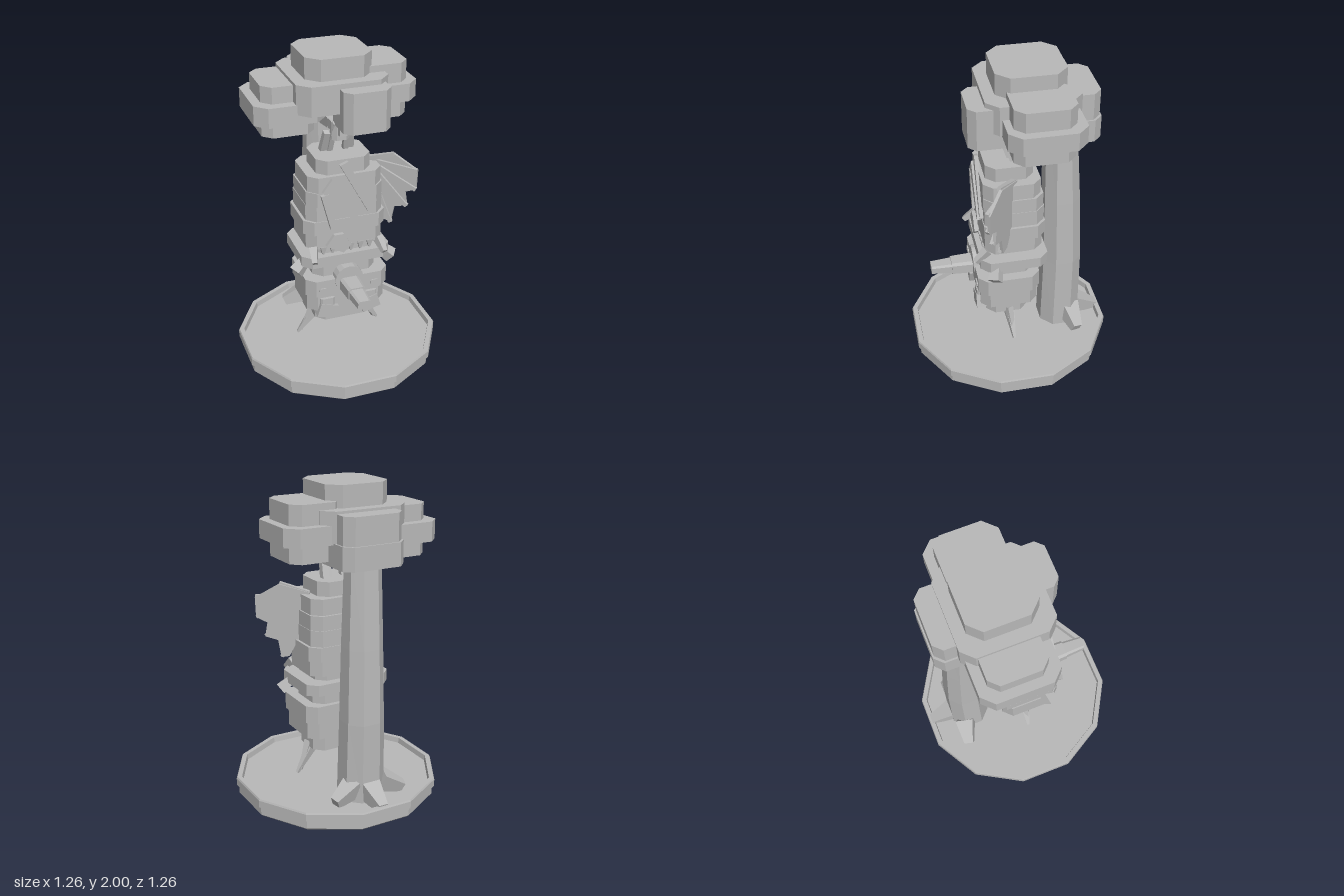
import * as THREE from 'three';

export function createModel() {
  const model = new THREE.Group();
  const stone = new THREE.MeshStandardMaterial({ color: 0xb8b8b8 });
  stone.name = 'grey stone';
  stone.flatShading = true;

  function add(name, geometry, parent = model) {
    const mesh = new THREE.Mesh(geometry, stone);
    mesh.name = name;
    parent.add(mesh);
    return mesh;
  }

  function group(name) {
    const g = new THREE.Group();
    g.name = name;
    model.add(g);
    return g;
  }

  function polygon(points) {
    return new THREE.Shape(points.map(([x, y]) => new THREE.Vector2(x, y)));
  }

  // Upright block with cut corners
  function block(name, x0, x1, y0, y1, z0, z1, c, parent) {
    const a = -z1, b = -z0;
    const shape = polygon([
      [x0 + c, a], [x1 - c, a], [x1, a + c], [x1, b - c],
      [x1 - c, b], [x0 + c, b], [x0, b - c], [x0, a + c]]);
    const geo = new THREE.ExtrudeGeometry(shape, { depth: y1 - y0, bevelEnabled: false });
    geo.rotateX(-Math.PI / 2).translate(0, y0, 0);
    return add(name, geo, parent);
  }

  // Tapered block whose bottom and top are [x centre, z centre, half width, half depth, y]
  function taper(name, bottom, top, c, parent) {
    const mesh = block(name, -1, 1, 0, 1, -1, 1, c, parent);
    const p = mesh.geometry.attributes.position;
    for (let i = 0; i < p.count; i++) {
      const [cx, cz, w, d, y] = bottom.map((v, k) => THREE.MathUtils.lerp(v, top[k], p.getY(i)));
      p.setXYZ(i, cx + p.getX(i) * w, y, cz + p.getZ(i) * d);
    }
    mesh.geometry.computeVertexNormals();
    return mesh;
  }

  // Tapered bar from a to b with half thicknesses ra and rb
  function bar(name, a, b, ra, rb, parent, sides = 4) {
    const from = new THREE.Vector3(...a), to = new THREE.Vector3(...b);
    const dir = to.clone().sub(from);
    const geo = new THREE.CylinderGeometry(rb * 1.414, ra * 1.414, dir.length(), sides);
    geo.rotateY(Math.PI / sides);
    const mesh = add(name, geo, parent);
    mesh.position.copy(from).add(to).multiplyScalar(0.5);
    mesh.quaternion.setFromUnitVectors(new THREE.Vector3(0, 1, 0), dir.normalize());
    return mesh;
  }

  // Twelve-sided base with a raised rim
  const rim = [[0, 0], [0.625, 0], [0.635, 0.01], [0.635, 0.06], [0.65, 0.065], [0.65, 0.11],
    [0.645, 0.12], [0.615, 0.12], [0.61, 0.085], [0, 0.085]];
  add('base', new THREE.LatheGeometry(rim.map(([r, y]) => new THREE.Vector2(r, y)), 12, Math.PI / 12));

  // Tree trunk, roots and the branch holding the lantern body
  const tree = group('tree');
  const trunk = [
    [0.015, -0.338, 0.135, 0.128, 0.08], [0.015, -0.345, 0.125, 0.122, 0.59],
    [0.01, -0.335, 0.115, 0.112, 1.05], [0.0, -0.318, 0.1, 0.093, 1.6]];
  for (let i = 0; i < 3; i++) taper('trunk', trunk[i], trunk[i + 1], 0.55, tree);
  bar('root', [0.015, 0.17, -0.42], [0.015, 0.1, -0.6], 0.065, 0.03, tree);
  for (const s of [-1, 1]) bar('root', [s * 0.09, 0.18, -0.39], [s * 0.24, 0.11, -0.42], 0.06, 0.03, tree);
  bar('branch', [0, 1.51, -0.3], [0, 1.54, -0.08], 0.035, 0.032, tree);
  bar('branch', [0, 1.54, -0.1], [0, 1.55, 0.12], 0.032, 0.022, tree);

  // Foliage: stacked cut-corner blocks
  const leaves = group('foliage');
  const tiers = [
    [-0.205, 0.205, 1.86, 2.0, -0.315, 0.1, 0.075],
    [-0.28, 0.28, 1.69, 1.87, -0.385, 0.17, 0.07],
    [-0.46, -0.14, 1.54, 1.85, -0.305, 0.045, 0.055],
    [-0.515, -0.085, 1.63, 1.75, -0.365, 0.107, 0.07],
    [0.12, 0.44, 1.575, 1.91, -0.31, 0.045, 0.055],
    [0.065, 0.495, 1.68, 1.79, -0.365, 0.085, 0.07],
    [-0.04, 0.25, 1.59, 1.84, 0.0, 0.27, 0.045],
    [-0.18, 0.22, 1.55, 1.69, -0.515, -0.15, 0.05],
    [-0.17, 0.21, 1.69, 1.855, -0.505, -0.15, 0.05]];
  for (const t of tiers) block('foliageBlock', ...t, leaves);

  // Hanging ropes and hook
  const hanger = group('hanger');
  for (const s of [-1, 1]) {
    bar('rope', [s * 0.085, 1.39, -0.02], [s * 0.075, 1.53, 0.03], 0.022, 0.018, hanger);
    bar('rope', [s * 0.05, 1.39, 0.0], [s * 0.035, 1.6, 0.07], 0.015, 0.015, hanger);
  }
  block('hook', -0.055, 0.055, 1.49, 1.6, 0.02, 0.09, 0.025, hanger);

  // Stacked body: half width, bottom, top, back, front
  const body = group('body');
  const rings = [
    [0.19, 0.3, 0.41, -0.1, 0.17], [0.255, 0.41, 0.52, -0.15, 0.215],
    [0.268, 0.52, 0.63, -0.16, 0.23], [0.205, 0.63, 0.72, -0.13, 0.175],
    [0.285, 0.72, 0.79, -0.205, 0.215], [0.2, 0.79, 0.83, -0.15, 0.17],
    [0.245, 0.83, 0.93, -0.175, 0.18], [0.262, 0.93, 1.02, -0.19, 0.185],
    [0.245, 1.02, 1.12, -0.185, 0.18], [0.242, 1.12, 1.21, -0.18, 0.185],
    [0.233, 1.21, 1.31, -0.165, 0.185], [0.17, 1.31, 1.4, -0.13, 0.16]];
  for (const [w, y0, y1, z0, z1] of rings) block('bodyRing', -w, w, y0, y1, z0, z1, 0.055, body);

  // Face: round brow, snout and eyes
  const face = group('face');
  const brow = add('brow', new THREE.CylinderGeometry(0.092, 0.092, 0.1, 16).rotateX(Math.PI / 2), face);
  brow.position.set(0, 0.615, 0.187);
  const snout = [[0, 0, 0.064, 0.046, 0.2], [0, 0, 0.055, 0.043, 0.37], [0, 0, 0.045, 0.035, 0.5]];
  for (let i = 0; i < 2; i++) {
    const part = taper('snout', snout[i], snout[i + 1], 0.3, face);
    part.rotation.x = Math.PI / 2;
    part.position.y = 0.587;
    if (i) part.scale.set(0.9, 1, 0.8);
  }
  for (const s of [-1, 1]) {
    const eye = block('eye', -0.028, 0.028, 0, 0.008, -0.019, 0.019, 0.01, face);
    eye.rotation.x = Math.PI / 2;
    eye.position.set(s * 0.168, 0.56, 0.23);
  }

  // Paired legs, claws, shoulder stubs and small horns
  const limbs = group('limbs');
  for (const s of [-1, 1]) {
    bar('leg', [s * 0.12, 0.36, 0.03], [s * 0.275, 0.135, 0.01], 0.035, 0.008, limbs);
    bar('toe', [s * 0.18, 0.33, 0.03], [s * 0.25, 0.15, 0.01], 0.022, 0.008, limbs);
    const claw = add('claw', new THREE.BoxGeometry(0.12, 0.09, 0.08), limbs);
    claw.position.set(s * 0.14, 0.41, 0.2);
    claw.rotation.z = s * 0.3;
    block('clawWrist', s * 0.14 - 0.045, s * 0.14 + 0.045, 0.44, 0.5, 0.18, 0.235, 0.01, limbs);
    bar('shoulderStub', [s * 0.23, 0.75, 0.11], [s * 0.315, 0.675, 0.14], 0.025, 0.036, limbs);
    bar('horn', [s * 0.21, 0.84, 0.17], [s * 0.225, 0.775, 0.245], 0.025, 0.015, limbs);
  }

  // Spread wing on the left side, with ribs fanned from the shoulder
  const wing = group('leftWing');
  wing.position.set(0.19, 0, -0.02);
  wing.rotation.y = -0.675;
  const outline = [[0, 1.32], [0.03, 1.1], [0.13, 0.91], [0.18, 0.9], [0.2, 1.01], [0.28, 1.03],
    [0.265, 1.12], [0.335, 1.15], [0.34, 1.275], [0.19, 1.365]];
  add('wingMembrane', new THREE.ExtrudeGeometry(polygon(outline), { depth: 0.02, bevelEnabled: false }), wing);
  for (const i of [3, 5, 7, 8, 9]) {
    bar('wingRib', [0.01, 1.31, 0.022], [outline[i][0], outline[i][1], 0.022], 0.016, 0.012, wing);
  }

  // Folded wing lying across the chest
  const folded = group('foldedWing');
  const blades = [
    [[-0.05, 1.38], [0.0, 1.4], [0.16, 1.05], [0.13, 1.05]],
    [[-0.16, 1.22], [-0.1, 1.3], [0.09, 0.99], [0.06, 0.98]],
    [[-0.17, 1.2], [-0.12, 1.21], [-0.07, 0.96], [-0.11, 0.97]],
    [[-0.14, 0.86], [-0.09, 0.93], [-0.03, 0.93], [0.02, 0.85], [-0.03, 0.8]]];
  blades.forEach((b, i) => {
    const blade = add('foldedBlade', new THREE.ExtrudeGeometry(polygon(b.reverse()),
      { depth: 0.025, bevelEnabled: false }), folded);
    blade.position.z = 0.178 + i * 0.004;
  });

  // Pointed fringe above the belt
  for (let i = 0; i < 6; i++) {
    const x = -0.15 + i * 0.06;
    bar('fringeTooth', [x, 0.84, 0.17], [x, 0.78, 0.18], 0.02, 0.002, body);
  }

  return model;
}
